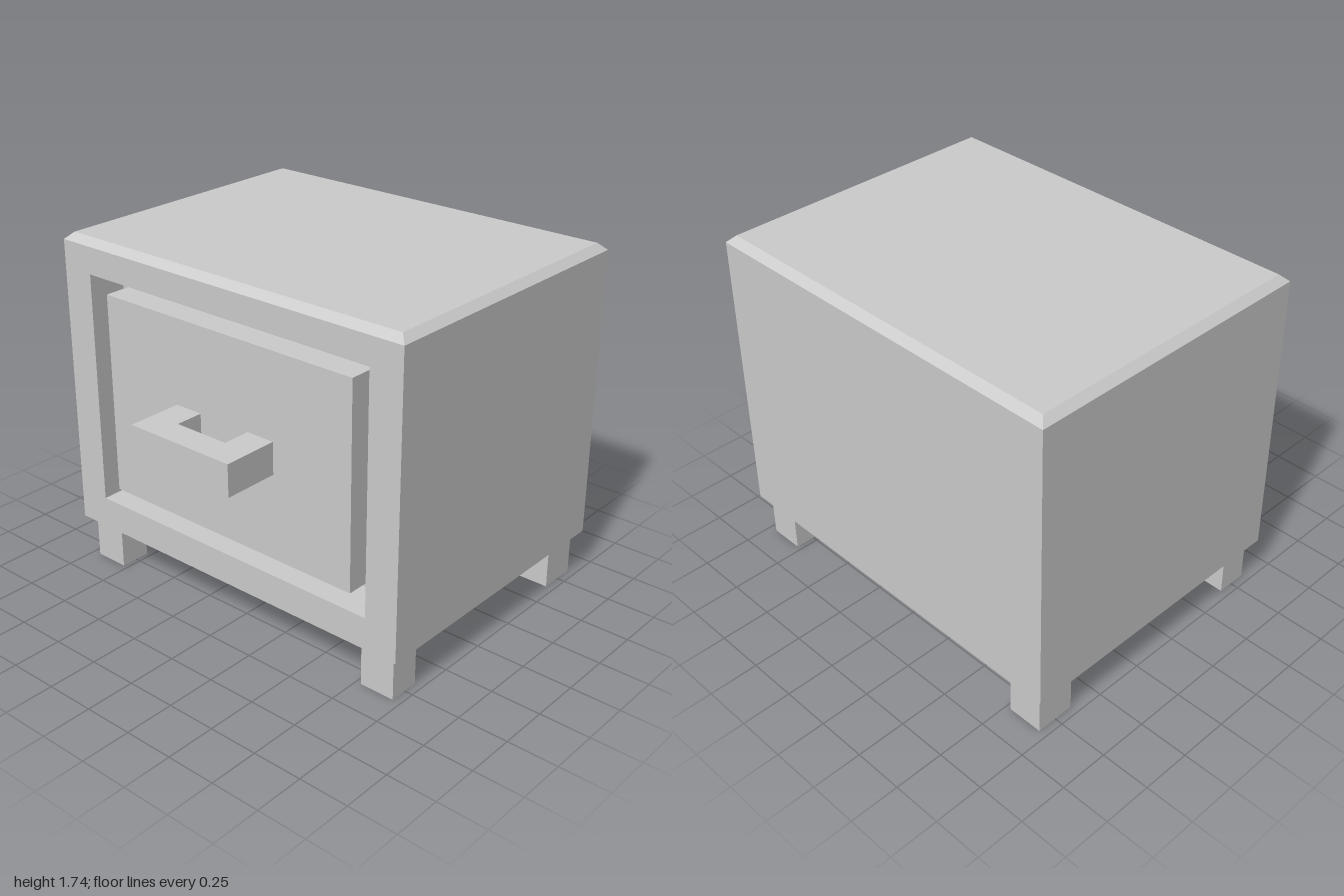
import * as THREE from 'three';

const X0 = -0.63, X1 = 0.89, MID = 0.978, DEPTH = 0.2;

const material = new THREE.MeshStandardMaterial({ color: 0xcccccc, flatShading: true });

function part(name, geometry, x = 0, y = 0, z = 0) {
  const mesh = new THREE.Mesh(geometry, material);
  mesh.name = name;
  mesh.position.set(x, y, z);
  return mesh;
}

// Horizontal rectangle at height y, shrunk by inset
function levelRing(y, inset) {
  const a = X0 + inset, b = X1 - inset, z = 1 - inset;
  return [[a, y, z], [b, y, z], [b, y, -z], [a, y, -z]];
}

// Upright rectangle facing -x
function sideRing(x, y0, y1, z) {
  return [[x, y0, -z], [x, y0, z], [x, y1, z], [x, y1, -z]];
}

// Cabinet: bevelled shell with a recess in its -x side
function cabinetGeometry() {
  const positions = [];
  const quad = (a, b, c, d) => positions.push(...a, ...b, ...c, ...a, ...c, ...d);
  const band = (lower, upper, sides = 4) => {
    for (let i = 0; i < sides; i++) {
      const j = (i + 1) % 4;
      quad(lower[i], lower[j], upper[j], upper[i]);
    }
  };

  const base = levelRing(0.21, 0.025), low = levelRing(0.23, 0);
  const high = levelRing(1.70, 0), top = levelRing(1.735, 0.037);
  quad(...[...base].reverse());
  band(base, low);
  band(low, high, 3); // the fourth side holds the recess
  band(high, top);
  quad(...top);

  const face = sideRing(X0, 0.23, 1.70, 1);
  const opening = sideRing(X0, 0.39, 1.565, 0.83);
  const floor = sideRing(X0 + DEPTH, 0.39, 1.565, 0.83);
  band(face, opening);
  band(opening, floor);
  quad(...floor);

  const geometry = new THREE.BufferGeometry();
  geometry.setAttribute('position', new THREE.Float32BufferAttribute(positions, 3));
  geometry.computeVertexNormals();
  return geometry;
}

// U-shaped pull, drawn in plan (x, -z) and extruded upwards
function handleGeometry() {
  const root = X0 + 0.03;
  const shape = new THREE.Shape([
    [root, -0.295], [root, -0.145], [-0.76, -0.145], [-0.76, 0.145],
    [root, 0.145], [root, 0.295], [-0.90, 0.295], [-0.90, -0.295],
  ].map(([x, z]) => new THREE.Vector2(x, z)));
  const geometry = new THREE.ExtrudeGeometry(shape, { depth: 0.16, bevelEnabled: false });
  return geometry.rotateX(-Math.PI / 2);
}

export function createModel() {
  const model = new THREE.Group();
  model.name = 'bedsideCabinet';

  model.add(part('cabinet', cabinetGeometry()));

  // Drawer front, standing in the recess with a gap all round
  const front = DEPTH - 0.012;
  model.add(part('drawerFront', new THREE.BoxGeometry(front, 1.015, 1.47),
    X0 + DEPTH - front / 2, MID, 0));
  model.add(part('drawerHandle', handleGeometry(), 0, MID - 0.08, 0));

  // Feet: the pair on the +x side is a little wider
  for (const [x, width] of [[-0.505, 0.16], [0.75, 0.2]]) {
    for (const side of [1, -1]) {
      model.add(part('foot', new THREE.BoxGeometry(width, 0.21, 0.18), x, 0.105, side * 0.867));
    }
  }
  return model;
}
